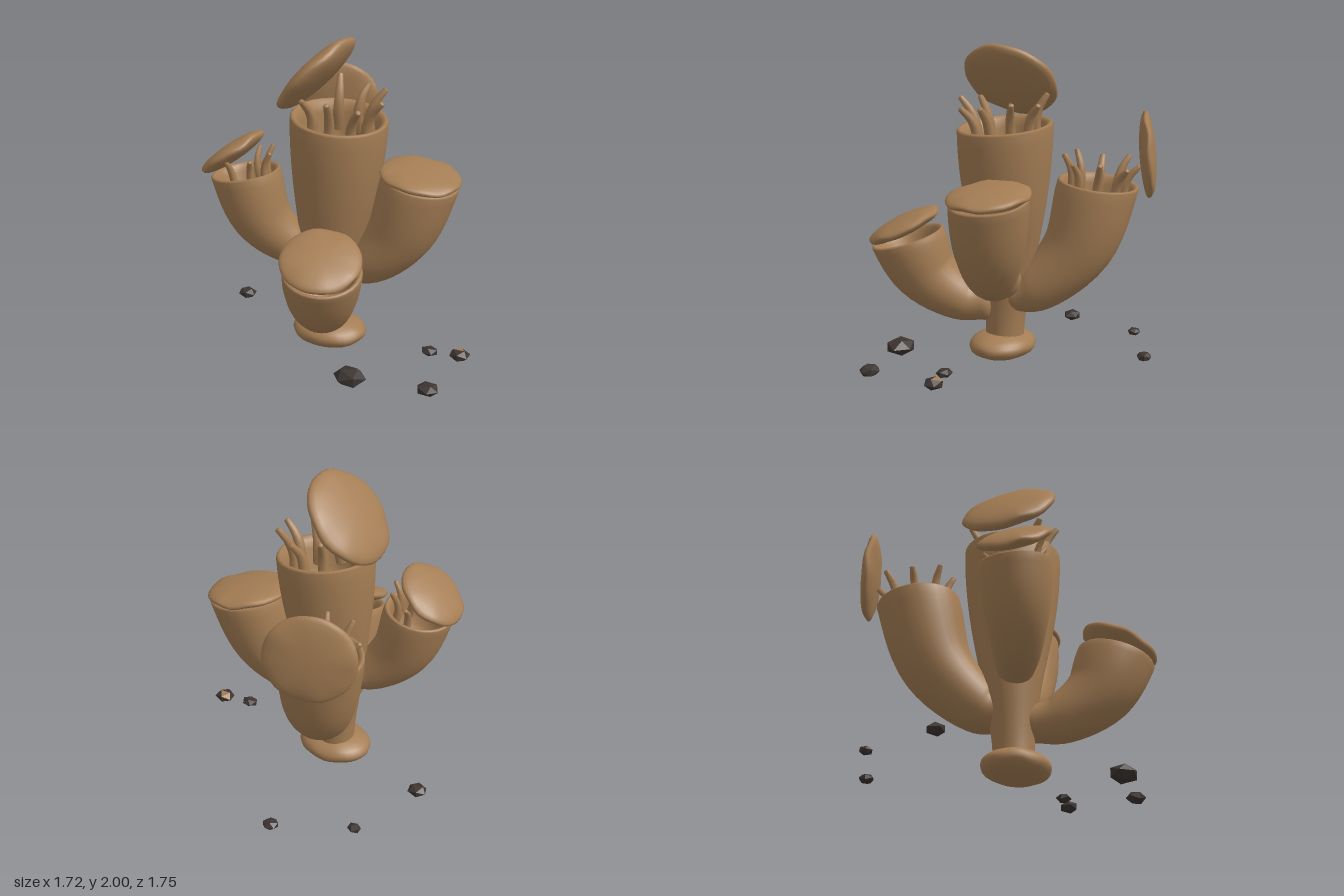
import * as THREE from 'three';
import { mergeVertices } from 'three/addons/utils/BufferGeometryUtils.js';

const { lerp, smoothstep, degToRad } = THREE.MathUtils;
const UP = new THREE.Vector3(0, 1, 0);
const vec = (x, y, z) => new THREE.Vector3(x, y, z);
const turnTo = (axis) => new THREE.Quaternion().setFromUnitVectors(UP, axis.clone().normalize());

const tan = new THREE.MeshStandardMaterial({ color: 0xa47d54 });
tan.name = 'tan flesh';
const stone = new THREE.MeshStandardMaterial({ color: 0x3c3431 });
stone.name = 'dark stone';

function add(parent, name, geometry, material = tan) {
  const mesh = new THREE.Mesh(geometry, material);
  mesh.name = name;
  parent.add(mesh);
  return mesh;
}

// Round sweep along a curve. finish lists [radius factor, height factor] of
// the extra rings that close the far end; endAxis steers the last rings.
function sweep(points, radiusAt, sides, steps, finish, endAxis) {
  const curve = new THREE.CatmullRomCurve3(points);
  const pos = [], index = [];
  const ring = (c, axis, r) => {
    const q = turnTo(axis);
    for (let i = 0; i < sides; i++) {
      const a = (i / sides) * Math.PI * 2;
      pos.push(...vec(Math.cos(a) * r, 0, Math.sin(a) * r).applyQuaternion(q).add(c));
    }
  };
  let axis = curve.getTangent(0);
  // rounded start
  for (let k = 0; k < 4; k++) {
    const a = (k / 4) * Math.PI / 2, r = radiusAt(0);
    ring(points[0].clone().addScaledVector(axis, -0.5 * r * Math.cos(a)), axis, r * Math.sin(a) + 0.001);
  }
  for (let j = 0; j <= steps; j++) {
    const t = j / steps;
    axis = curve.getTangent(t);
    if (endAxis) axis.lerp(endAxis.clone().normalize(), smoothstep(t, 0.5, 1)).normalize();
    ring(curve.getPoint(t), axis, radiusAt(t));
  }
  const r = radiusAt(1);
  for (const [k, h] of finish) ring(points.at(-1).clone().addScaledVector(axis, h * r), axis, r * k);

  const rings = pos.length / 3 / sides;
  for (let j = 0; j < rings - 1; j++) {
    for (let i = 0; i < sides; i++) {
      const a = j * sides + i, b = j * sides + ((i + 1) % sides);
      index.push(a, a + sides, b, b, a + sides, b + sides);
    }
  }
  const g = new THREE.BufferGeometry();
  g.setAttribute('position', new THREE.Float32BufferAttribute(pos, 3));
  g.setIndex(index);
  g.computeVertexNormals();
  return g;
}

// Flattened ellipsoid whose edge gently waves up and down
function pad(rx, ry, rz, ripple) {
  let g = new THREE.SphereGeometry(1, 36, 14);
  g.deleteAttribute('uv');
  g.deleteAttribute('normal');
  g = mergeVertices(g, 1e-4);
  const p = g.attributes.position;
  for (let i = 0; i < p.count; i++) {
    const x = p.getX(i), y = p.getY(i), z = p.getZ(i);
    const a = Math.atan2(z, x);
    const wave = ripple * (x * x + z * z) ** 2 * (0.6 * Math.sin(a * 5 + 1) + 0.4 * Math.sin(a * 8));
    p.setXYZ(i, x * rx, y * ry + wave, z * rz);
  }
  g.computeVertexNormals();
  return g;
}

const MOUTH = [[0.97, 0.04], [0.92, 0.04], [0.85, -0.02], [0.79, -0.2], [0.73, -0.6], [0.64, -0.95], [0.4, -1.12], [0.01, -1.16]];
const TIP = [[0.7, 0.3], [0.01, 0.4]];

// Hollow tube, widening smoothly from r0 to r1, facing along axis at the mouth
function addTube(model, name, points, r0, r1, axis) {
  const group = new THREE.Group();
  group.name = name;
  model.add(group);
  add(group, 'tubeWall', sweep(points, (t) => lerp(r0, r1, smoothstep(t, 0, 1)), 28, 20, MOUTH, axis));
  return group;
}

function addLid(tube, center, radius, thickness, axis) {
  const lid = add(tube, 'lid', pad(radius, thickness, radius, 0.009));
  lid.position.copy(center);
  lid.quaternion.copy(turnTo(axis));
}

// Curved tentacles inside a mouth, spread evenly to both sides of +x by
// multiples of a step angle up to the given span
function addTentacles(tube, center, axis, R, step, span, size) {
  const mouth = new THREE.Group();
  mouth.name = 'tentacles';
  mouth.position.copy(center);
  mouth.quaternion.copy(turnTo(axis));
  tube.add(mouth);
  for (let i = -span; i <= span; i++) {
    const h = size * (0.165 + 0.02 * Math.sin(i * 2.3));
    const path = [vec(R * 0.7, -0.14, 0), vec(R * 0.63, -0.02, 0), vec(R * 0.72, h * 0.5, 0), vec(R * 0.93, h, 0)];
    const geometry = sweep(path, (t) => size * lerp(0.035, 0.018, t * t), 7, 8, TIP);
    add(mouth, 'tentacle', geometry).rotation.y = degToRad(i * step);
  }
}

// Faceted rock; a patched one has tan faces on its upper rear right
function addRock(model, x, z, r, turn, patched = false) {
  const g = new THREE.IcosahedronGeometry(1, 0);
  g.rotateY(turn);
  const p = g.attributes.position;
  for (let i = 0; i < p.count; i++) {
    const k = r * (1 + 0.1 * Math.sin(p.getX(i) * 7 + turn) * Math.cos(p.getZ(i) * 5));
    p.setXYZ(i, p.getX(i) * k, p.getY(i) * r * 0.56, p.getZ(i) * k * 0.9);
  }
  g.computeVertexNormals();
  const n = g.attributes.normal;
  for (let i = 0; i < p.count; i += 3) {
    const tinted = patched && n.getY(i) > 0.05 && n.getX(i) < 0.12 && n.getZ(i) < 0.05;
    g.addGroup(i, 3, tinted ? 1 : 0);
  }
  add(model, 'rock', g, [stone, tan]).position.set(x, 0.115, z);
}

export function createModel() {
  const model = new THREE.Group();

  // Foot
  add(model, 'foot', pad(0.24, 0.092, 0.2, 0.006)).position.set(-0.09, 0.1, 0.08);

  // Tall central tube, lid tipped open
  const mainTop = vec(-0.04, 1.5, 0.035), mainAxis = vec(0.1, 1, 0.04);
  const main = addTube(model, 'mainTube',
    [vec(-0.1, 0.12, 0.07), vec(-0.1, 0.55, 0.06), vec(-0.065, 1, 0.045), mainTop], 0.12, 0.297, mainAxis);
  addLid(main, vec(-0.175, 1.77, 0.07), 0.305, 0.075, vec(-0.74, 0.67, 0.04));
  addTentacles(main, mainTop, mainAxis, 0.293, 40, 3, 1);

  // Rear tube, lid swung upright
  const backTop = vec(-0.345, 1.14, -0.455), backAxis = vec(0, 1, -0.13);
  const back = addTube(model, 'backTube',
    [vec(-0.1, 0.44, 0), vec(-0.14, 0.48, -0.12), vec(-0.27, 0.75, -0.36), backTop], 0.125, 0.253, backAxis);
  addLid(back, vec(-0.46, 1.33, -0.73), 0.27, 0.05, vec(-0.43, 0.08, -0.9));
  addTentacles(back, backTop, backAxis, 0.25, 45, 3.5, 0.9);

  // Small tube on the model's right, half open
  const rightTop = vec(-0.55, 1.15, 0.29), rightAxis = vec(-0.16, 1, 0);
  const right = addTube(model, 'rightTube',
    [vec(-0.16, 0.66, 0.1), vec(-0.3, 0.695, 0.18), vec(-0.465, 0.87, 0.26), rightTop], 0.11, 0.213, rightAxis);
  addLid(right, vec(-0.62, 1.28, 0.315), 0.222, 0.055, vec(-0.6, 0.8, 0.05));
  addTentacles(right, rightTop, rightAxis, 0.21, 45, 2, 0.72);

  // Closed tube on the model's left
  const left = addTube(model, 'leftTube',
    [vec(0, 0.55, 0.03), vec(0.17, 0.61, 0), vec(0.335, 0.81, -0.07), vec(0.43, 1.13, -0.12)],
    0.125, 0.24, vec(0.18, 1, 0));
  addLid(left, vec(0.43, 1.165, -0.12), 0.253, 0.05, vec(0.16, 1, 0.02));

  // Low front tube, lid barely lifted
  const front = addTube(model, 'frontTube',
    [vec(-0.04, 0.37, 0.16), vec(0.01, 0.39, 0.31), vec(0.11, 0.56, 0.53), vec(0.165, 0.78, 0.62)],
    0.115, 0.235, vec(0.15, 1, 0.25));
  addLid(front, vec(0.17, 0.86, 0.645), 0.24, 0.055, vec(0.22, 1, 0.42));

  // Scattered rocks
  addRock(model, -0.8, -0.06, 0.064, 0.3);
  addRock(model, -0.67, -0.575, 0.046, 1.1);
  addRock(model, -0.24, -0.83, 0.055, 2);
  addRock(model, 0.32, 0.58, 0.1, 0.7);
  addRock(model, 0.61, 0.08, 0.053, 1.6);
  addRock(model, 0.79, 0.49, 0.07, 2.4);
  addRock(model, 0.79, 0.04, 0.068, 0.1, true);
  return model;
}
